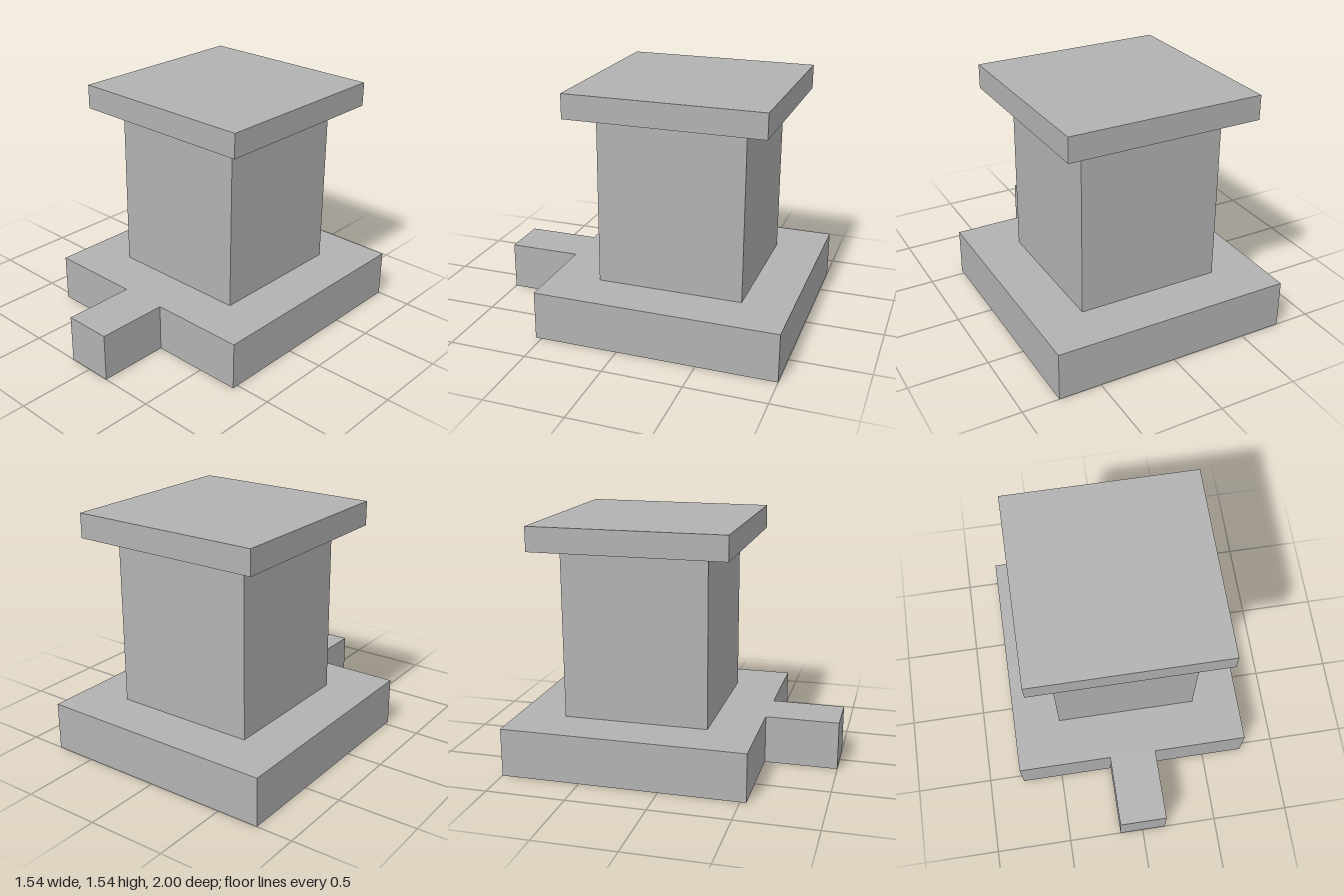
import * as THREE from 'three';

const U = 2 / 13; // modular unit: the model is 13 units long

export function createModel() {
  const model = new THREE.Group();
  model.name = 'pedestal';
  const grey = new THREE.MeshStandardMaterial({ color: 0xb2b2b2 });
  grey.name = 'grey';

  const add = (name, geometry) => {
    const mesh = new THREE.Mesh(geometry, grey);
    mesh.name = name;
    model.add(mesh);
    return mesh;
  };

  // Base slab with a front tongue, extruded upward from its plan outline (x, -z)
  const half = [[1, -6.5], [1, -3.5], [5, -3.5], [5, 6.5]];
  const mirrored = half.map(([x, y]) => [-x, y]).reverse();
  const outline = [...half, ...mirrored].map(([x, y]) => new THREE.Vector2(x * U, y * U));
  const base = new THREE.ExtrudeGeometry(new THREE.Shape(outline), { depth: 2 * U, bevelEnabled: false });
  base.rotateX(-Math.PI / 2);
  add('base', base);

  // Square blocks stacked on the middle of the slab
  const block = (name, width, bottom, top) =>
    add(name, new THREE.BoxGeometry(width * U, (top - bottom) * U, width * U))
      .position.set(0, ((bottom + top) / 2) * U, -1.5 * U);
  block('column', 6, 2, 9);
  block('cap', 8, 9, 10);

  return model;
}
